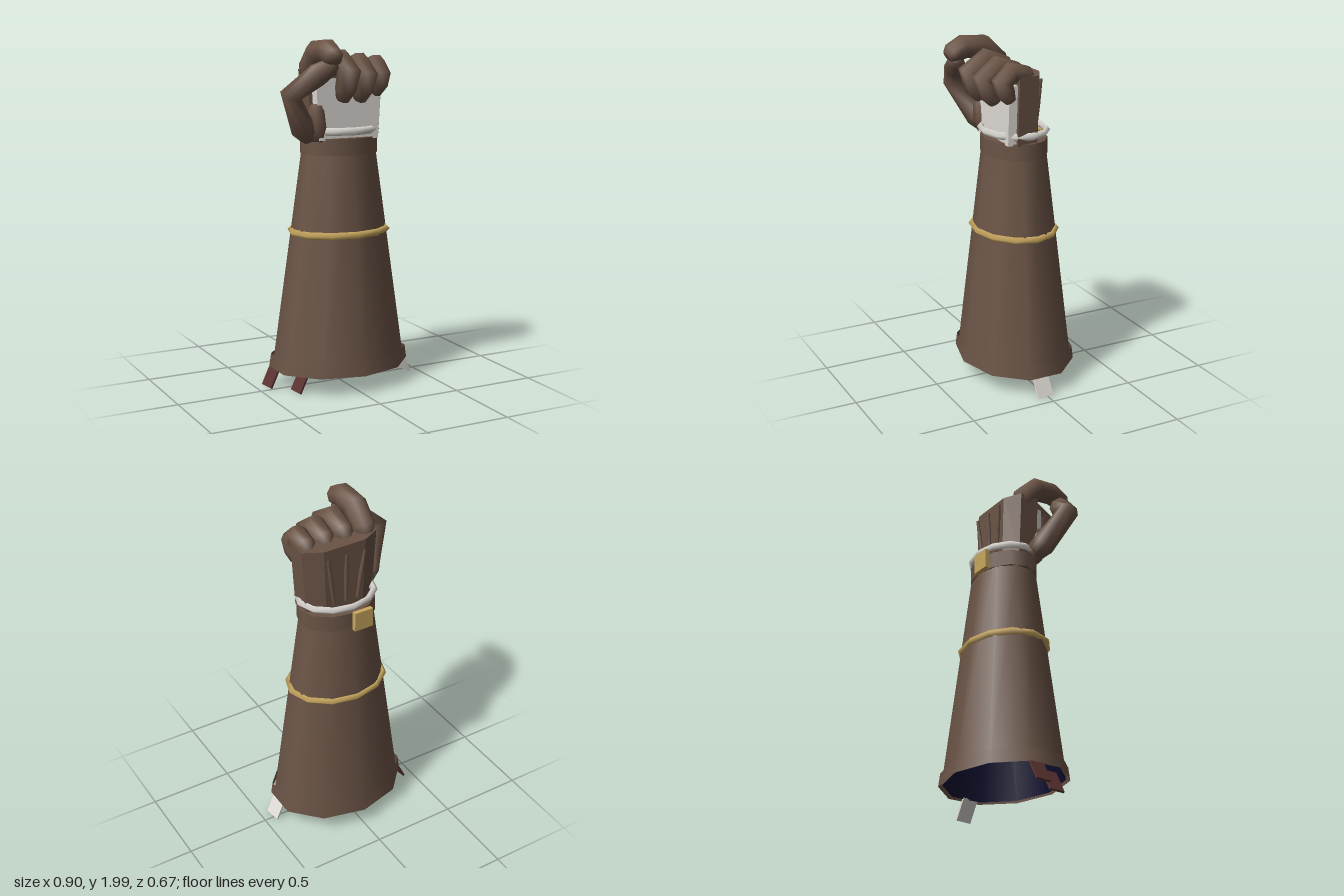
import * as THREE from 'three';

const material = (name, color, side = THREE.FrontSide) => {
  const m = new THREE.MeshStandardMaterial({ color, side });
  m.name = name;
  return m;
};

// Smooth tube through points [x, y, z, radius], closed at both ends
function limbGeometry(points, ref, sides = 8) {
  const centres = points.map(p => new THREE.Vector3(p[0], p[1], p[2]));
  const last = points.length - 1;
  const position = [], index = [];
  const ring = (i, radius) => {
    const t = new THREE.Vector3();
    if (i > 0) t.add(centres[i].clone().sub(centres[i - 1]).normalize());
    if (i < last) t.add(centres[i + 1].clone().sub(centres[i]).normalize());
    t.normalize();
    const u = ref.clone().addScaledVector(t, -ref.dot(t)).normalize();
    const v = t.clone().cross(u);
    for (let k = 0; k < sides; k++) {
      const a = ((k + 0.5) / sides) * Math.PI * 2;
      const p = centres[i].clone().addScaledVector(u, Math.cos(a) * radius).addScaledVector(v, Math.sin(a) * radius);
      position.push(p.x, p.y, p.z);
    }
  };
  ring(0, 0.001);
  points.forEach((p, i) => ring(i, p[3]));
  ring(last, 0.001);
  for (let i = 0; i < points.length + 1; i++) {
    for (let k = 0; k < sides; k++) {
      const a = i * sides + k, b = i * sides + (k + 1) % sides;
      index.push(a, b, a + sides, b, b + sides, a + sides);
    }
  }
  const g = new THREE.BufferGeometry();
  g.setAttribute('position', new THREE.Float32BufferAttribute(position, 3));
  g.setIndex(index);
  g.computeVertexNormals();
  return g;
}

// Upright block with an [x, z] outline, narrower at the bottom
function taperedBlock(outline, y0, y1, bottomScale) {
  const shape = new THREE.Shape(outline.map(([x, z]) => new THREE.Vector2(x, -z)));
  const g = new THREE.ExtrudeGeometry(shape, { depth: y1 - y0, bevelEnabled: false });
  g.rotateX(-Math.PI / 2);
  g.translate(0, y0, 0);
  const p = g.attributes.position;
  for (let i = 0; i < p.count; i++) {
    if (p.getY(i) < (y0 + y1) / 2) p.setX(i, p.getX(i) * bottomScale);
  }
  g.computeVertexNormals();
  return g;
}

export function createModel() {
  const group = new THREE.Group();
  const leather = material('brown leather', 0x6b5446);
  const leatherOpen = material('brown leather two sided', 0x6b5446, THREE.DoubleSide);
  const lining = material('navy lining', 0x0d0d30, THREE.DoubleSide);
  const pale = material('pale cloth', 0xdedad5);
  const gold = material('gold trim', 0xc8a75f);
  const red = material('dark red strap', 0x5a3230);

  const add = (name, geometry, mat, x = 0, y = 0, z = 0) => {
    const m = new THREE.Mesh(geometry, mat);
    m.name = name;
    m.position.set(x, y, z);
    group.add(m);
    return m;
  };
  // Oval band, ten sided by default
  const oval = (name, rTop, rBottom, y0, y1, depth, mat, open, sides = 10) => {
    const g = new THREE.CylinderGeometry(rTop, rBottom, y1 - y0, sides, 1, open);
    g.scale(1, 1, depth);
    return add(name, g, mat, 0, (y0 + y1) / 2, -0.004);
  };

  // Sleeve, lining and the loose cuff around its hem
  oval('sleeve', 0.222, 0.4, 0.12, 1.365, 0.785, leather, true);
  oval('sleeveTop', 0.19, 0.221, 1.36, 1.38, 0.78, leather, false);
  oval('sleeveLining', 0.212, 0.392, 0.121, 1.35, 0.785, lining, true);
  oval('liningEnd', 0.21, 0.21, 1.34, 1.35, 0.78, lining, false);
  oval('cuff', 0.41, 0.421, 0.115, 0.19, 0.782, leatherOpen, true);

  // Wrist strap with buckle
  oval('wristStrap', 0.233, 0.233, 1.355, 1.45, 0.765, leather, false, 12);
  add('buckle', new THREE.BoxGeometry(0.115, 0.115, 0.027), gold, -0.055, 1.402, -0.196);

  // Oval cord rings with a sharp outer edge
  const cord = (name, rx, rz, tube, y, mat) => {
    const g = new THREE.TorusGeometry(rx, tube, 4, 12);
    g.rotateX(Math.PI / 2);
    g.scale(1, 1, rz / rx);
    add(name, g, mat, 0, y, -0.003);
  };
  cord('armRing', 0.288, 0.23, 0.021, 0.91, gold);
  cord('wristRing', 0.222, 0.178, 0.022, 1.49, pale);

  // Hand block with chamfered back corners, and the palm panel
  add('hand', taperedBlock([
    [-0.235, 0.078], [0.235, 0.078], [0.235, -0.04], [0.13, -0.095], [-0.13, -0.095], [-0.235, -0.04],
  ], 1.44, 1.83, 0.9), leather);
  add('palm', taperedBlock([[-0.205, 0.125], [0.205, 0.125], [0.212, 0.07], [-0.212, 0.07]], 1.44, 1.78, 0.9), pale);

  // Ridges on the back of the hand
  const xAxis = new THREE.Vector3(1, 0, 0);
  for (const s of [-1, 0, 1]) {
    const ridge = [[s * 0.075, 1.49, -0.106, 0.009], [s * 0.095, 1.64, -0.11, 0.013], [s * 0.115, 1.78, -0.116, 0.009]];
    add('handRidge', limbGeometry(ridge, xAxis, 6), leather);
  }

  // Fingers: paths of [z, y, radius] in the plane of each finger
  const fingers = [
    ['indexFinger', -0.182, [[-0.01, 1.79, 0.053], [0.015, 1.845, 0.069], [0.1, 1.93, 0.07], [0.215, 1.94, 0.067], [0.29, 1.905, 0.058], [0.315, 1.89, 0.036]]],
    ['middleFinger', -0.06, [[0.005, 1.79, 0.053], [0.04, 1.84, 0.065], [0.135, 1.88, 0.067], [0.235, 1.82, 0.067], [0.2, 1.73, 0.061], [0.165, 1.672, 0.04]]],
    ['ringFinger', 0.06, [[0.005, 1.78, 0.053], [0.04, 1.83, 0.065], [0.125, 1.86, 0.066], [0.21, 1.8, 0.066], [0.175, 1.72, 0.06], [0.14, 1.667, 0.04]]],
    ['littleFinger', 0.178, [[0, 1.78, 0.053], [0.03, 1.83, 0.06], [0.1, 1.85, 0.061], [0.155, 1.8, 0.061], [0.135, 1.74, 0.055], [0.105, 1.695, 0.036]]],
  ];
  for (const [name, x, path] of fingers) {
    add(name, limbGeometry(path.map(([z, y, r]) => [x, y, z, r]), xAxis), leather);
  }

  // Thumb bent outwards, its tip meeting the index finger
  const zAxis = new THREE.Vector3(0, 0, 1);
  add('thumb', limbGeometry([
    [-0.22, 1.47, 0.06, 0.058], [-0.27, 1.51, 0.09, 0.069], [-0.385, 1.705, 0.185, 0.062],
    [-0.25, 1.815, 0.235, 0.063], [-0.18, 1.86, 0.265, 0.048], [-0.155, 1.875, 0.275, 0.025],
  ], zAxis), leather);
  add('thumbBase', limbGeometry([
    [-0.19, 1.45, 0.07, 0.055], [-0.185, 1.52, 0.095, 0.06], [-0.19, 1.6, 0.1, 0.05], [-0.19, 1.64, 0.09, 0.035],
  ], zAxis, 6), leather);

  // Loose straps hanging below the cuff
  const hang = (name, x, z, lean, turn, mat) => {
    const m = add(name, new THREE.BoxGeometry(0.012, 0.135, 0.1), mat, x, 0.07, z);
    m.rotation.set(0, turn, lean, 'YXZ');
  };
  hang('paleStrap', 0.408, 0.02, 0.47, 0.12, pale);
  hang('redStrap', -0.408, -0.06, -0.47, 0.12, red);
  hang('redStrap', -0.3, 0.105, -0.47, 0.1, red);

  return group;
}
